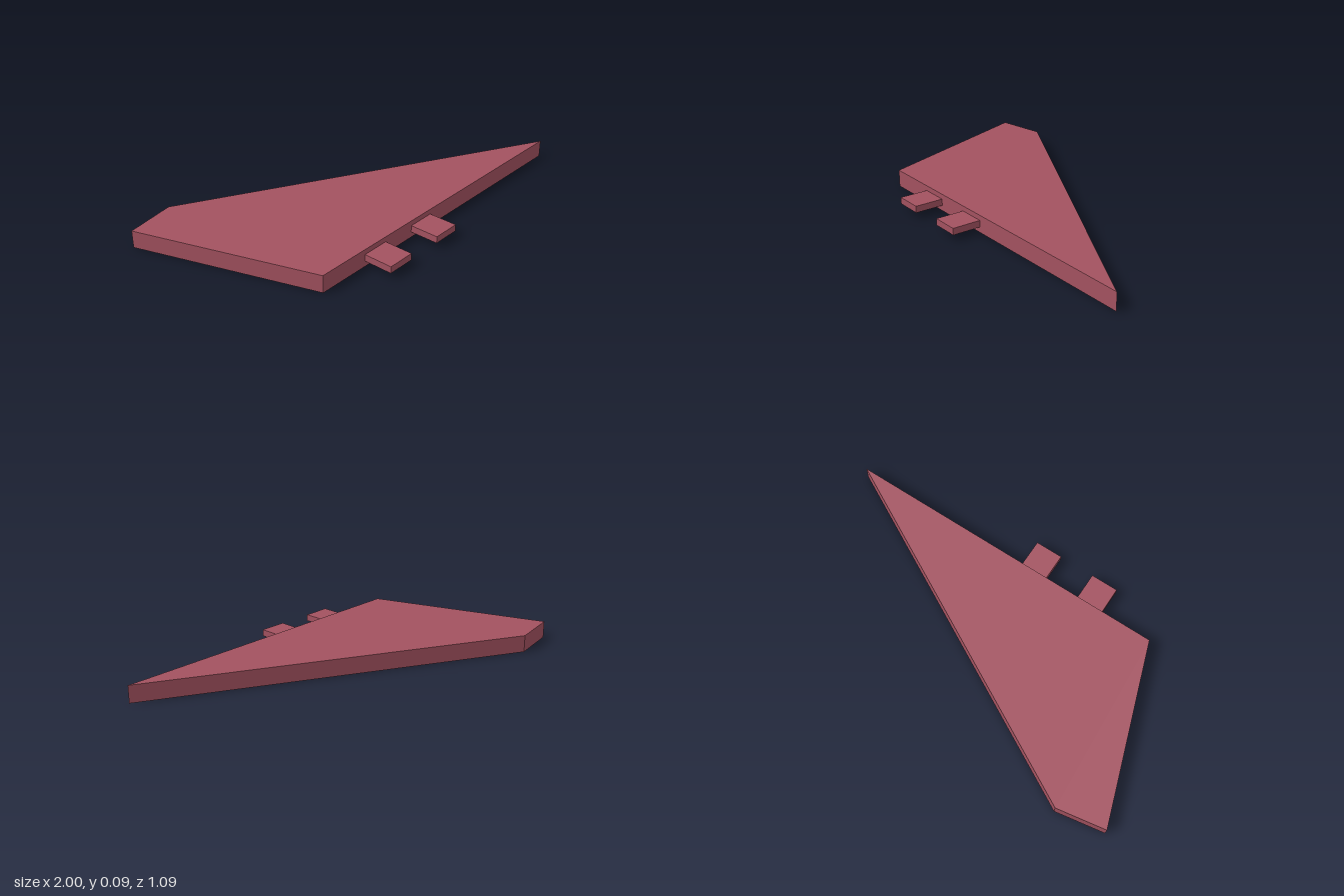
import * as THREE from 'three';

export function createModel() {
  const model = new THREE.Group();
  model.name = 'finPanel';

  const dustyRed = new THREE.MeshStandardMaterial({ color: 0xa35260 });
  dustyRed.name = 'dustyRed';

  // Extrudes a plan outline of [x, z] points upwards from y = bottom
  function addPlate(name, outline, bottom, height) {
    const shape = new THREE.Shape(outline.map(([x, z]) => new THREE.Vector2(x, -z)));
    const geometry = new THREE.ExtrudeGeometry(shape, { depth: height, bevelEnabled: false });
    geometry.rotateX(-Math.PI / 2);
    const mesh = new THREE.Mesh(geometry, dustyRed);
    mesh.name = name;
    mesh.position.y = bottom;
    model.add(mesh);
  }

  // Swept fin with a clipped tip
  addPlate('fin', [[-0.695, 0.397], [1, 0.397], [-0.75, -0.545], [-1, -0.5]], 0, 0.088);

  // Two mounting tabs on the root edge
  const tabWidth = 0.142;
  [['rightTab', -0.424], ['leftTab', -0.098]].forEach(([name, x]) => {
    addPlate(name, [[x, 0.545], [x + tabWidth, 0.545], [x + tabWidth, 0.397], [x, 0.397]], 0.028, 0.034);
  });

  return model;
}
